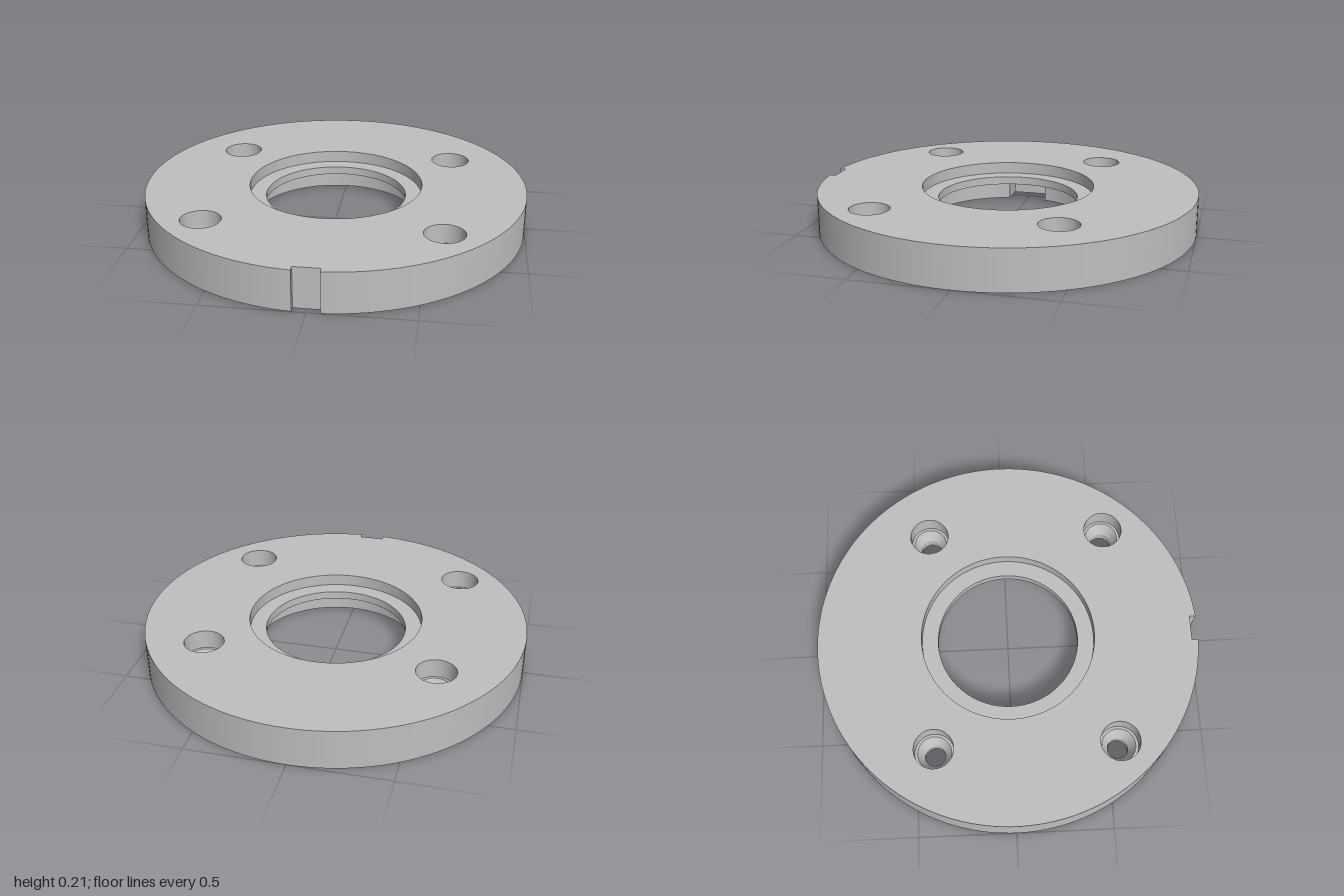
import * as THREE from 'three';

const H = 0.21, ROOF = 0.105, LEDGE = 0.148;   // disc height, lower pocket roof, upper ledge
const BORE = 0.37, UPPER = 0.455, LOWER = 0.45; // radii of the centre opening
const SEG = 128;

const steel = new THREE.MeshStandardMaterial({ color: 0xbfbfbf });
steel.name = 'steel grey';

export function createModel() {
  const model = new THREE.Group();
  model.name = 'flangePlate';

  const add = (name, geometry, x = 0, z = 0) => {
    const mesh = new THREE.Mesh(geometry, steel);
    mesh.name = name;
    mesh.position.set(x, 0, z);
    model.add(mesh);
  };

  // Points [x, z] on an arc; angle 0 is the front, growing towards +x
  const arc = (r, from = 0, to = Math.PI * 2, n = SEG, cx = 0, cz = 0) =>
    Array.from({ length: n + 1 }, (_, i) => {
      const a = from + (to - from) * i / n;
      return [cx + r * Math.sin(a), cz + r * Math.cos(a)];
    });
  const circle = (r, cx, cz, n = SEG) => arc(r, 0, Math.PI * 2, n, cx, cz).slice(0, -1);

  // One revolved band: a rising band faces outward, a falling one inward
  const band = (r0, y0, r1, y1, from = 0, to = Math.PI * 2, n = SEG) =>
    new THREE.LatheGeometry([new THREE.Vector2(r0, y0), new THREE.Vector2(r1, y1)], n, from, to - from);

  // Flat walls along a polyline, facing by the same rule as band
  const walls = (points, y0, y1) => {
    const v = [];
    for (let i = 0; i < points.length - 1; i++) {
      const [ax, az] = points[i], [bx, bz] = points[i + 1];
      v.push(ax, y0, az, bx, y0, bz, ax, y1, az, bx, y0, bz, bx, y1, bz, ax, y1, az);
    }
    const g = new THREE.BufferGeometry();
    g.setAttribute('position', new THREE.Float32BufferAttribute(v, 3));
    g.computeVertexNormals();
    return g;
  };

  // Horizontal face with holes, facing up (+1) or down (-1)
  const face = (outline, holes, y, up) => {
    const pts = list => list.map(([x, z]) => new THREE.Vector2(x, -up * z));
    const shape = new THREE.Shape(pts(outline));
    shape.holes = holes.map(h => new THREE.Path(pts(h)));
    return new THREE.ShapeGeometry(shape).rotateX(-up * Math.PI / 2).translate(0, y, 0);
  };

  // Outer rim with the key slot at the front
  const slotX = 0.066, slotZ = 0.965, slotA = Math.asin(slotX);
  const rimArc = arc(1, slotA, Math.PI * 2 - slotA);
  const slot = [[-slotX, slotZ], [slotX, slotZ]];
  const rim = [...rimArc, ...slot];
  add('outerRim', band(1, 0, 1, H, slotA, Math.PI * 2 - slotA));
  add('rimSlot', walls([rimArc[SEG], ...slot, rimArc[0]], 0, H));

  // Lower pocket: a circle with a square notch on either side
  const nx = 0.565, nz = 0.105, a = Math.asin(nz / LOWER), q = Math.PI / 2;
  const frontArc = arc(LOWER, -q + a, q - a, SEG / 2);
  const backArc = arc(LOWER, q + a, 3 * q - a, SEG / 2);
  const leftNotch = [[nx, nz], [nx, -nz]], rightNotch = [[-nx, -nz], [-nx, nz]];
  const pocket = [...frontArc, ...leftNotch, ...backArc, ...rightNotch];
  add('pocketFrontWall', band(LOWER, ROOF, LOWER, 0, -q + a, q - a, SEG / 2));
  add('pocketBackWall', band(LOWER, ROOF, LOWER, 0, q + a, 3 * q - a, SEG / 2));
  add('leftPocketNotch', walls([frontArc[SEG / 2], ...leftNotch, backArc[0]], ROOF, 0));
  add('rightPocketNotch', walls([backArc[SEG / 2], ...rightNotch, frontArc[0]], ROOF, 0));
  add('pocketRoof', face(pocket, [circle(BORE)], ROOF, -1));

  // Centre bore and the stepped recess above it
  add('recessWall', band(UPPER, H, UPPER, LEDGE));
  add('recessLedge', band(UPPER, LEDGE, BORE, LEDGE));
  add('boreWall', band(BORE, LEDGE, BORE, ROOF));

  // Four countersunk bolt holes: radius and height down each profile
  const profile = [[0.102, H], [0.102, 0.11], [0.088, 0.11], [0.053, 0.05], [0.053, 0]];
  const spots = [];
  for (const x of [-0.593, 0.593]) for (const z of [-0.403, 0.545]) spots.push([x, z]);
  for (const [x, z] of spots) {
    for (let i = 0; i < profile.length - 1; i++) {
      add('boltHole', band(...profile[i], ...profile[i + 1], 0, Math.PI * 2, 40), x, z);
    }
  }

  // Top and bottom faces
  add('topFace', face(rim, [circle(UPPER), ...spots.map(([x, z]) => circle(0.102, x, z, 40))], H, 1));
  add('bottomFace', face(rim, [pocket, ...spots.map(([x, z]) => circle(0.053, x, z, 40))], 0, -1));

  return model;
}
